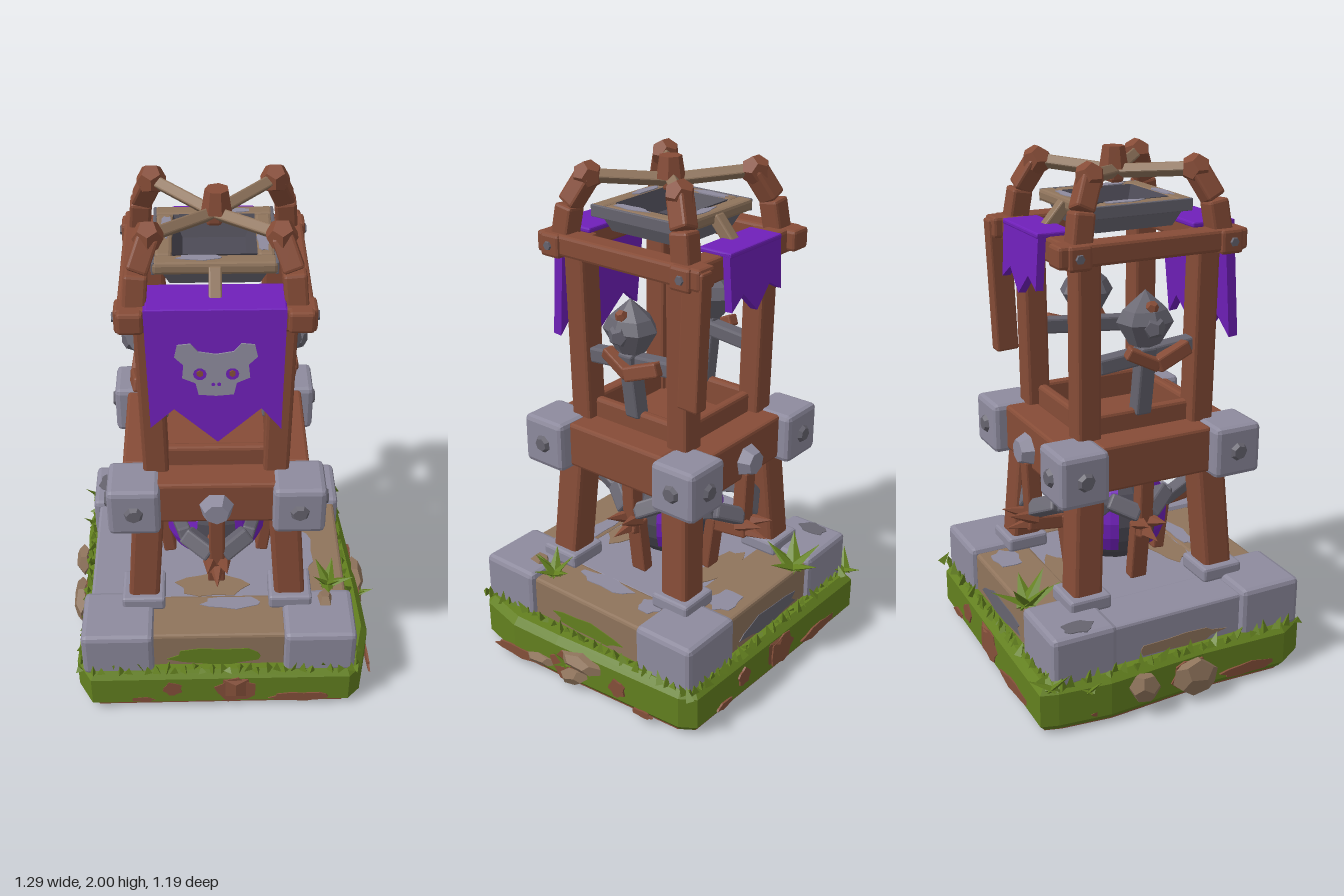
import * as THREE from 'three';
import { RoundedBoxGeometry } from 'three/addons/geometries/RoundedBoxGeometry.js';

const colour = (name, hex) => Object.assign(new THREE.MeshStandardMaterial({ color: hex }), { name });
const wood = colour('red brown wood', 0x864c37);
const tan = colour('tan wood and sandstone', 0x8f745c);
const stone = colour('light stone', 0x8e8b9e);
const steel = colour('mid grey iron', 0x66646f);
const iron = colour('dark iron', 0x4d4b56);
const purple = colour('purple cloth', 0x7020ba);
const grass = colour('grass green', 0x63801f);
const dirt = colour('dirt', 0x85503a);
steel.side = iron.side = THREE.DoubleSide;

const V = (x, y, z) => new THREE.Vector3(x, y, z);

// Faceted normals for the low-poly look
function flat(g) {
  const f = g.index ? g.toNonIndexed() : g;
  f.computeVertexNormals();
  return f;
}
function add(parent, name, geo, mat, x = 0, y = 0, z = 0) {
  const m = new THREE.Mesh(flat(geo), mat);
  m.name = name;
  m.position.set(x, y, z);
  parent.add(m);
  return m;
}
function block(parent, name, mat, w, h, d, x, y, z, r = 0.012) {
  return add(parent, name, new RoundedBoxGeometry(w, h, d, 1, r), mat, x, y, z);
}
// Timber running from a to b
function beam(parent, name, mat, a, b, w, d = w) {
  const dir = b.clone().sub(a);
  const m = block(parent, name, mat, w, dir.length(), d, 0, 0, 0, Math.min(w, d) * 0.14);
  m.position.copy(a).add(b).multiplyScalar(0.5);
  m.quaternion.setFromUnitVectors(V(0, 1, 0), dir.normalize());
  return m;
}
function shapeOf(pts) {
  return new THREE.Shape(pts.map(([x, y]) => new THREE.Vector2(x, y)));
}
function plate(shape, depth) {
  return new THREE.ExtrudeGeometry(shape, { depth, bevelEnabled: false, curveSegments: 5 });
}
// Irregular painted patch
function patch(parent, mat, w, h, x, y, z, rx, ry, seed) {
  const pts = [];
  for (let i = 0; i < 13; i++) {
    const a = (i / 13) * Math.PI * 2, r = 0.46 + 0.07 * Math.sin(seed * 5 + i * 2.3);
    pts.push([Math.cos(a) * r * w, Math.sin(a) * r * h]);
  }
  const m = add(parent, 'paintedPatch', plate(shapeOf(pts), 0.008), mat, x, y, z);
  m.rotation.set(rx, ry, 0);
}
const topPatch = (parent, mat, w, d, x, y, z, seed) => patch(parent, mat, w, d, x, y - 0.005, z, -Math.PI / 2, 0, seed);
function rock(parent, x, y, z, sx, sy, sz, turn) {
  const m = add(parent, 'rock', new THREE.DodecahedronGeometry(1), tan, x, y, z);
  m.scale.set(sx, sy, sz);
  m.rotation.x = turn;
}
// Tuft of broad pointed leaves
function tuft(parent, x, y, z, size, n) {
  const t = new THREE.Group();
  t.name = 'grassTuft';
  for (let i = 0; i < n; i++) {
    const pivot = new THREE.Group();
    const leaf = add(pivot, 'leaf', new THREE.ConeGeometry(size * 0.27, size, 4), grass, 0, size * 0.45, 0);
    leaf.scale.z = 0.4;
    pivot.rotation.set(0.75 + 0.35 * (i % 2), i * 2.4 + 0.5, 0, 'YXZ');
    t.add(pivot);
  }
  t.position.set(x, y, z);
  parent.add(t);
}

function makeBase(root) {
  const base = new THREE.Group();
  base.name = 'base';
  root.add(base);
  // Turf block with a dirt underside
  const outline = shapeOf([[-0.55, 0.565], [-0.1, 0.555], [0.49, 0.54], [0.53, 0.48], [0.575, -0.1], [0.585, -0.32],
    [0.54, -0.51], [0.49, -0.56], [-0.53, -0.565], [-0.59, -0.46], [-0.575, -0.1], [-0.595, 0.3], [-0.57, 0.5]]);
  const turf = new THREE.ExtrudeGeometry(outline, { depth: 0.13, bevelThickness: 0.03, bevelSize: 0.025, bevelOffset: -0.025, bevelSegments: 1 });
  add(base, 'turf', turf.rotateX(-Math.PI / 2), grass, 0, 0.036, 0);
  add(base, 'dirtUnderside', plate(outline, 0.008).rotateX(-Math.PI / 2).scale(0.955, 1, 0.955), wood);
  // Bare earth on the sides
  [[0.04, 0.1, 0.17, 0.14], [-0.21, 0.11, 0.08, 0.08], [0.3, 0.055, 0.26, 0.05], [-0.33, 0.05, 0.1, 0.03]].forEach(([x, y, w, h], i) => {
    patch(base, dirt, w, h, x, y, 0.5575, 0, 0, i);
    patch(base, dirt, w, h, -x, y, -0.551 + 0.02 * -x, 0, Math.PI + 0.025, i + 3);
    patch(base, dirt, w, h, 0.57 + 0.04 * x, y - 0.01, x, 0, Math.PI / 2 + 0.05, i + 5);
    patch(base, dirt, w, h, -0.58, y, x, 0, -Math.PI / 2, i + 7);
  });
  for (const z of [0.54, -0.53]) {
    const mound = add(base, 'dirtMound', new THREE.DodecahedronGeometry(1), dirt, z > 0 ? 0.04 : -0.01, 0.11, z);
    mound.scale.set(0.085, 0.085, 0.04);
  }
  // Stone platform: four corner blocks and four side slabs
  for (const x of [-0.42, 0.37]) for (const z of [-0.385, 0.41])
    block(base, 'cornerStone', stone, 0.28, 0.2, 0.26, x, 0.275, z, 0.02);
  block(base, 'platformCore', stone, 0.66, 0.17, 0.64, -0.03, 0.265, 0);
  block(base, 'frontSlab', tan, 0.54, 0.18, 0.22, -0.03, 0.265, 0.4);
  block(base, 'backSlab', tan, 0.54, 0.18, 0.22, -0.03, 0.265, -0.385);
  block(base, 'rightSlab', tan, 0.2, 0.18, 0.56, 0.39, 0.265, 0.01);
  block(base, 'leftSlab', stone, 0.2, 0.18, 0.56, -0.435, 0.265, 0.01);
  // Moss and worn areas
  patch(base, grass, 0.4, 0.1, -0.03, 0.24, 0.505, 0, 0, 2);
  patch(base, grass, 0.36, 0.07, 0.485, 0.235, 0.01, 0, Math.PI / 2, 4);
  patch(base, steel, 0.4, 0.09, -0.03, 0.235, -0.49, 0, Math.PI, 6);
  patch(base, tan, 0.4, 0.06, -0.53, 0.225, 0.02, 0, -Math.PI / 2, 8);
  topPatch(base, stone, 0.08, 0.28, 0.335, 0.355, 0.04, 1);
  topPatch(base, stone, 0.1, 0.1, 0.35, 0.355, -0.2, 5);
  topPatch(base, stone, 0.16, 0.12, 0.14, 0.355, -0.4, 3);
  topPatch(base, stone, 0.26, 0.07, 0.03, 0.355, 0.335, 7);
  topPatch(base, tan, 0.3, 0.14, -0.05, 0.35, 0.23, 9);
  topPatch(base, tan, 0.3, 0.12, -0.05, 0.35, -0.24, 4);
  topPatch(base, steel, 0.09, 0.13, -0.5, 0.375, -0.39, 2);
  // Uneven fringe of short blades around the stones
  for (let i = 0; i < 30; i++) {
    const t = -0.52 + i * 0.036;
    [[t, 0.54], [t, -0.522], [0.515, t], [-0.57, t]].forEach(([x, z], k) => {
      const n = Math.sin(i * 4.1 + k * 1.7), h = 0.04 + 0.018 * n;
      const blade = add(base, 'grassBlade', new THREE.ConeGeometry(0.02, h, 3), grass, x + 0.006 * n, 0.195 + h * 0.3, z - 0.006 * n);
      blade.rotation.set(n * 0.3, i * 1.3 + k, n * 0.4);
    });
  }
  tuft(base, 0.42, 0.36, 0.24, 0.12, 6);
  tuft(base, -0.23, 0.35, -0.47, 0.16, 6);
  tuft(base, -0.56, 0.19, -0.52, 0.11, 4);
  tuft(base, 0.58, 0.1, 0.04, 0.08, 4);
  tuft(base, -0.58, 0.15, -0.38, 0.08, 4);
  rock(base, 0.57, 0.14, -0.03, 0.04, 0.038, 0.11, 0);
  rock(base, 0.57, 0.06, 0.19, 0.03, 0.03, 0.09, 0.15);
  rock(base, 0.57, 0.06, 0.01, 0.035, 0.04, 0.08, 0.4);
  rock(base, 0.4, 0.36, 0.34, 0.035, 0.045, 0.05, 0.3);
  rock(base, -0.605, 0.1, 0.05, 0.035, 0.08, 0.1, 0.2);
  rock(base, -0.61, 0.12, -0.17, 0.035, 0.06, 0.07, 0.6);
}

function makeFrame(tower) {
  for (const sx of [-1, 1]) for (const sz of [-1, 1]) {
    // Legs, feet, bolted corner blocks and upper posts
    block(tower, 'foot', stone, 0.17, 0.06, 0.17, sx * 0.29, 0.385, sz * 0.285);
    beam(tower, 'leg', wood, V(sx * 0.29, 0.37, sz * 0.285), V(sx * 0.25, 0.92, sz * 0.25), 0.12);
    block(tower, 'cornerBlock', stone, 0.195, 0.2, 0.195, sx * 0.305, 0.9, sz * 0.318, 0.02);
    for (const side of [0, 1]) {
      const pos = side ? V(sx * 0.405, 0.9, sz * 0.318) : V(sx * 0.305, 0.9, sz * 0.418);
      const bolt = add(tower, 'bolt', new THREE.CylinderGeometry(0.026, 0.044, 0.024, 7), steel, pos.x, pos.y, pos.z);
      bolt.rotation.set(side ? 0 : sz * Math.PI / 2, 0, side ? -sx * Math.PI / 2 : 0);
    }
    beam(tower, 'post', wood, V(sx * 0.222, 0.95, sz * 0.235), V(sx * 0.235, 1.72, sz * 0.24), 0.095);
    // Curved roof rib, knob and spar to the centre
    const knee = V(sx * 0.262, 1.83, sz * 0.262), knob = V(sx * 0.22, 1.935, sz * 0.21);
    beam(tower, 'roofRib', wood, V(sx * 0.275, 1.68, sz * 0.285), knee, 0.08);
    beam(tower, 'roofRib', wood, knee, knob, 0.075);
    add(tower, 'roofKnob', new THREE.DodecahedronGeometry(0.056), wood, knob.x, knob.y, knob.z);
    beam(tower, 'roofSpar', tan, knob, V(0, 1.91, 0), 0.04);
  }
  const finial = add(tower, 'finial', new THREE.CylinderGeometry(0.042, 0.055, 0.08, 7), wood, 0.01, 1.96, 0);
  finial.rotation.y = 0.3;
  block(tower, 'finialNeck', wood, 0.055, 0.06, 0.055, 0, 1.9, 0);
  // Middle and top rails
  for (const s of [-1, 1]) {
    block(tower, 'middleRail', wood, 0.46, 0.18, 0.13, 0, 0.905, s * 0.3);
    block(tower, 'middleRail', wood, 0.13, 0.18, 0.46, s * 0.285, 0.905, 0);
    block(tower, 'deckWall', wood, 0.4, 0.13, 0.04, 0, 1.005, s * 0.22);
    block(tower, 'deckWall', wood, 0.04, 0.13, 0.4, s * 0.21, 1.005, 0);
    block(tower, 'topRail', wood, 0.68, 0.09, 0.09, 0, 1.685, s * 0.3);
    block(tower, 'topRail', wood, 0.09, 0.08, 0.75, s * 0.285, 1.69, -0.005);
    for (const e of [-1, 1]) {
      const peg = add(tower, 'railPeg', new THREE.CylinderGeometry(0.016, 0.02, 0.016, 6), steel, s * 0.34, 1.685, e * 0.305);
      peg.rotation.z = -s * Math.PI / 2;
    }
  }
  block(tower, 'deck', wood, 0.5, 0.03, 0.5, 0, 0.95, 0);
  beam(tower, 'hangingPlank', wood, V(0.295, 1.72, -0.345), V(0.295, 1.2, -0.325), 0.06, 0.09);
}

// Square hopper with a worn tan rim
function makeFunnel(tower) {
  const square = (top, bottom, h) =>
    new THREE.CylinderGeometry(top * Math.SQRT2, bottom * Math.SQRT2, h, 4, 1, true).rotateY(Math.PI / 4);
  add(tower, 'funnelOuter', square(0.2, 0.155, 0.1), steel, 0, 1.775, 0);
  add(tower, 'funnelInner', square(0.145, 0.11, 0.08), iron, 0, 1.79, 0);
  block(tower, 'funnelFloor', iron, 0.3, 0.02, 0.3, 0, 1.745, 0, 0.004);
  for (const s of [-1, 1]) {
    block(tower, 'funnelRim', tan, 0.425, 0.045, 0.065, 0, 1.808, s * 0.178);
    block(tower, 'funnelRim', tan, 0.06, 0.045, 0.3, s * 0.175, 1.808, 0);
    block(tower, 'funnelSide', steel, 0.012, 0.045, 0.41, s * 0.209, 1.807, 0, 0.003);
    topPatch(tower, stone, 0.045, 0.17, s * 0.168, 1.83, s * 0.05, s + 3);
    topPatch(tower, stone, 0.17, 0.04, -s * 0.05, 1.83, s * 0.17, s + 6);
    beam(tower, 'funnelBracket', tan, V(0, 1.72, s * 0.28), V(0, 1.81, s * 0.2), 0.045);
  }
}

function makeBanners(tower) {
  // Long front banner, folded over the rail, with an animal-mask emblem
  const front = new THREE.Group();
  front.name = 'frontBanner';
  front.position.set(0, 1.74, 0.328);
  front.rotation.x = -0.09;
  add(front, 'bannerCloth', plate(shapeOf([[-0.24, 0], [-0.228, -0.45], [-0.145, -0.375], [0.005, -0.51],
    [0.155, -0.375], [0.225, -0.46], [0.235, 0]]), 0.038), purple);
  const half = [[0.06, 0.08], [0.085, 0.11], [0.13, 0.105], [0.14, 0.06], [0.11, 0.03], [0.115, -0.02], [0.07, -0.04], [0.06, -0.085]];
  const mask = shapeOf([[0, 0.07], ...half, [0, -0.09], ...half.map(([x, y]) => [-x, y]).reverse()]);
  for (const s of [-1, 1]) {
    mask.holes.push(new THREE.Path().absarc(s * 0.055, -0.005, 0.023, 0, Math.PI * 2, true));
    mask.holes.push(new THREE.Path().absarc(s * 0.01, -0.045, 0.007, 0, Math.PI * 2, true));
    add(front, 'maskEye', new THREE.CylinderGeometry(0.012, 0.012, 0.006, 6).rotateX(Math.PI / 2), dirt, s * 0.055, -0.235, 0.04);
  }
  add(front, 'maskEmblem', plate(mask, 0.006), stone, 0, -0.23, 0.038);
  tower.add(front);
  block(tower, 'bannerFold', purple, 0.47, 0.02, 0.17, 0, 1.735, 0.28, 0.006);
  // Short back banner
  const back = new THREE.Group();
  back.name = 'backBanner';
  back.position.set(0, 1.74, -0.345);
  back.rotation.x = 0.06;
  add(back, 'bannerCloth', plate(shapeOf([[-0.155, 0], [-0.15, -0.2], [-0.08, -0.16], [0, -0.24],
    [0.08, -0.16], [0.15, -0.21], [0.155, 0]]), 0.03), purple, 0, 0, -0.03);
  tower.add(back);
  block(tower, 'bannerFold', purple, 0.31, 0.02, 0.14, 0, 1.735, -0.31, 0.006);
}

// Iron-headed side ornament with a crossbar and handle
function makeLantern(tower, s) {
  const g = new THREE.Group();
  g.name = 'sideLantern';
  g.position.x = s * 0.23;
  g.rotation.y = s * Math.PI / 2;
  const profile = [[0, -0.11], [0.06, -0.085], [0.11, 0.0], [0.085, 0.045], [0, 0.115]].map(([x, y]) => new THREE.Vector2(x, y));
  const head = add(g, 'lanternHead', new THREE.LatheGeometry(profile, 7), steel, 0, 1.41, 0.01);
  head.scale.z = 0.85;
  add(g, 'lanternStud', new THREE.DodecahedronGeometry(0.045), steel, 0, 1.4, 0.07);
  add(g, 'lanternStud', new THREE.DodecahedronGeometry(0.025), wood, 0, 1.47, 0.06);
  beam(g, 'crossbar', steel, V(-0.19, 1.26, 0), V(0.24, 1.3, 0), 0.06);
  beam(g, 'handle', steel, V(0, 1.32, 0.02), V(0.0, 1.05, -0.02), 0.065);
  beam(g, 'grip', wood, V(-0.09, 1.31, 0.045), V(0.03, 1.25, 0.06), 0.045);
  beam(g, 'grip', wood, V(0.02, 1.25, 0.06), V(0.16, 1.3, 0.04), 0.055);
  tower.add(g);
}

// Hanging orb with iron straps, and a clawed hanger on each side
function makeOrb(tower) {
  add(tower, 'orb', new THREE.SphereGeometry(0.205, 16, 10), iron, 0, 0.575, 0);
  for (let i = 0; i < 4; i++) {
    const a = i * Math.PI / 2;
    add(tower, 'orbPanel', new THREE.SphereGeometry(0.211, 5, 6, a + 0.38, 0.81, 0.3, 1.78), purple, 0, 0.575, 0);
    const onEnd = i % 2 === 0, r = onEnd ? 0.36 : 0.25;
    const g = new THREE.Group();
    g.name = 'clawHanger';
    g.rotation.y = a;
    if (onEnd) {
      const disc = add(g, 'medallion', new THREE.CylinderGeometry(0.045, 0.068, 0.05, 7), stone, 0, 0.89, 0.385);
      disc.rotation.x = Math.PI / 2;
    }
    beam(g, 'hangerPost', wood, V(0, 0.85, r), V(0, 0.6, r - 0.01), 0.06);
    beam(g, 'hangerArm', wood, V(0, 0.565, 0.18), V(0, 0.59, r + 0.02), 0.06);
    beam(g, 'orbStrut', wood, V(0, 0.36, 0.19), V(0, 0.6, 0.22), 0.07, 0.05);
    for (const s of [-1, 1]) {
      beam(g, 'chainLink', steel, V(s * 0.02, 0.65, r), V(s * 0.12, 0.7, r - 0.06), 0.065);
      beam(g, 'chainLink', steel, V(s * 0.12, 0.7, r - 0.06), V(s * 0.15, 0.64, 0.14), 0.05);
    }
    for (const s of [-1, 0, 1]) {
      const claw = add(g, 'claw', new THREE.ConeGeometry(0.032, 0.12, 5), wood, s * 0.03, 0.6 + (s ? 0.03 : -0.02), r + 0.05);
      claw.rotation.set(s ? 1.3 : 1.6, 0, -s * 0.12);
    }
    tower.add(g);
  }
}

export function createModel() {
  const root = new THREE.Group();
  root.name = 'watchtower';
  makeBase(root);
  const tower = new THREE.Group();
  tower.name = 'tower';
  tower.position.x = -0.03;
  root.add(tower);
  makeFrame(tower);
  makeFunnel(tower);
  makeBanners(tower);
  makeLantern(tower, 1);
  makeLantern(tower, -1);
  makeOrb(tower);
  return root;
}
